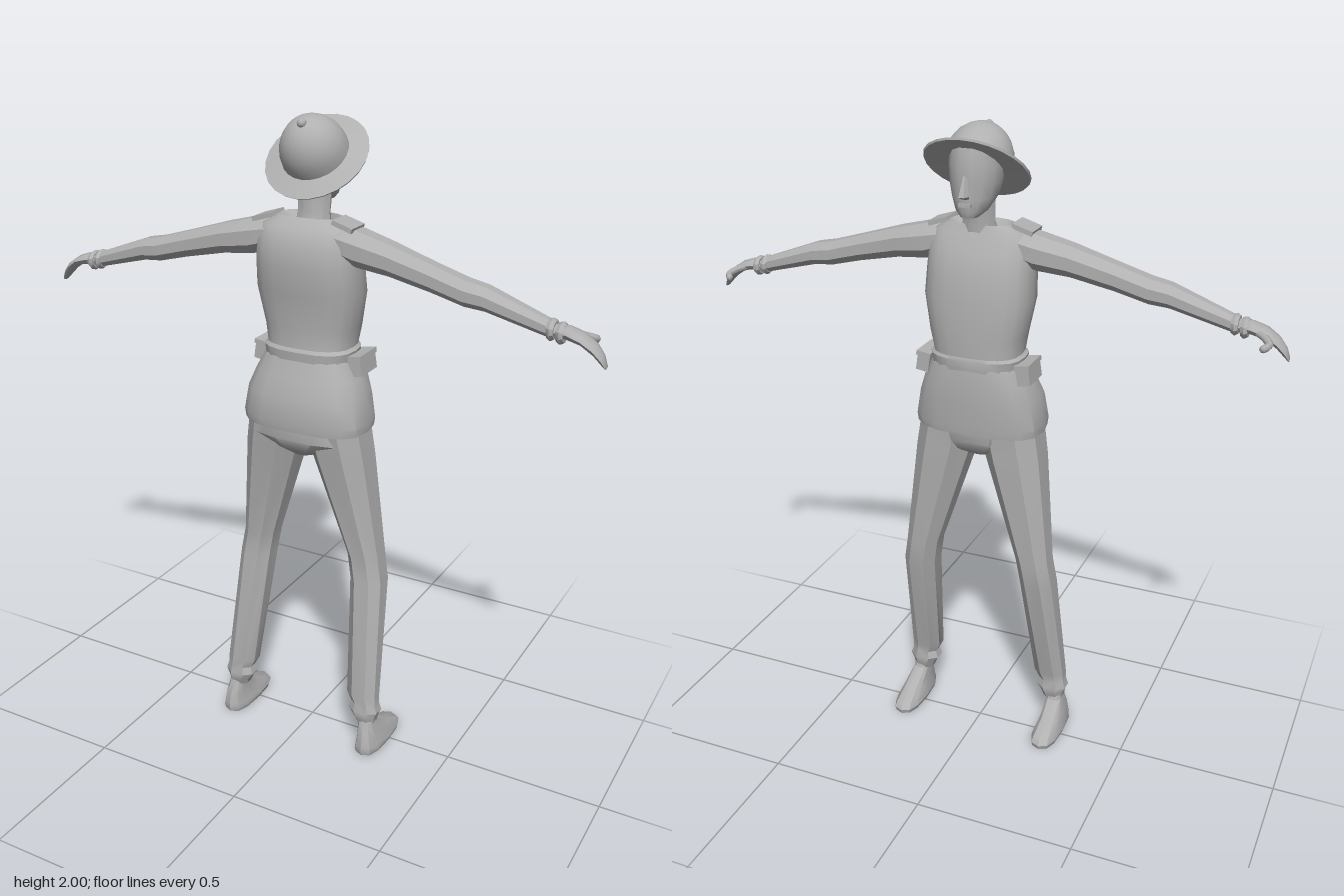
import * as THREE from 'three';
import { toCreasedNormals } from 'three/addons/utils/BufferGeometryUtils.js';

// Skin a stack of rounded rings. Each ring is [t, a0, a1, z0, z1]:
// upright stacks use t = y and a = x; sideways stacks use t = x and a = y.
function loft(rings, { n = 8, upright = true, power = 1, side = 1, crease = 0.6, turn = 0 } = {}) {
  const pos = [], index = [];
  const put = (t, a, z) => (upright ? pos.push(a * side, t, z) : pos.push(t * side, a, z));
  const bend = v => Math.sign(v) * Math.pow(Math.abs(v), power);
  for (const [t, a0, a1, z0, z1] of rings) {
    for (let i = 0; i < n; i++) {
      const k = ((i + turn) / n) * Math.PI * 2;
      put(t, (a0 + a1) / 2 + bend(Math.cos(k)) * (a1 - a0) / 2, (z0 + z1) / 2 + bend(Math.sin(k)) * (z1 - z0) / 2);
    }
  }
  const last = rings.length - 1;
  const flip = upright === (side > 0);
  const tri = (a, b, c) => (flip ? index.push(a, c, b) : index.push(a, b, c));
  for (let r = 0; r < last; r++) {
    for (let i = 0; i < n; i++) {
      const j = (i + 1) % n, a = r * n + i, b = r * n + j;
      tri(a, b, b + n);
      tri(a, b + n, a + n);
    }
  }
  // End caps
  for (const r of [0, last]) {
    const [t, a0, a1, z0, z1] = rings[r];
    put(t, (a0 + a1) / 2, (z0 + z1) / 2);
    const c = pos.length / 3 - 1;
    for (let i = 0; i < n; i++) {
      const a = r * n + i, b = r * n + (i + 1) % n;
      if (r === 0) tri(c, b, a); else tri(c, a, b);
    }
  }
  const g = new THREE.BufferGeometry();
  g.setAttribute('position', new THREE.Float32BufferAttribute(pos, 3));
  g.setIndex(index);
  return toCreasedNormals(g, crease);
}

// Symmetric upright ring
const sym = (y, w, z0, z1) => [y, -w, w, z0, z1];

export function createModel() {
  const model = new THREE.Group();
  model.name = 'figure';
  const grey = new THREE.MeshStandardMaterial({ color: 0xb0b0b0 });
  grey.name = 'plain grey';
  const add = (name, geometry, parent = model) => {
    const mesh = new THREE.Mesh(geometry, grey);
    mesh.name = name;
    parent.add(mesh);
    return mesh;
  };
  const box = (name, size, at, parent) => {
    const mesh = add(name, new THREE.BoxGeometry(...size), parent);
    mesh.position.set(...at);
    return mesh;
  };

  // Shirt, from waist to collar
  add('shirt', loft([
    sym(1.24, 0.15, -0.1, 0.105), sym(1.32, 0.132, -0.104, 0.097), sym(1.39, 0.146, -0.106, 0.092),
    sym(1.5, 0.166, -0.102, 0.11), sym(1.58, 0.162, -0.092, 0.12), sym(1.64, 0.158, -0.076, 0.115),
    sym(1.69, 0.14, -0.05, 0.095), sym(1.715, 0.095, -0.04, 0.06), sym(1.69, 0.06, -0.04, 0.04),
  ], { n: 20, power: 0.75, crease: 0.8 }));
  // Waistband and flared skirt of the jacket
  add('waistband', loft([
    sym(1.29, 0.14, -0.104, 0.1), sym(1.325, 0.145, -0.108, 0.103), sym(1.335, 0.132, -0.104, 0.097),
  ], { n: 20, power: 0.75 }));
  add('jacketSkirt', loft([
    sym(1.09, 0.185, -0.088, 0.125), sym(1.085, 0.2, -0.1, 0.138), sym(1.11, 0.203, -0.103, 0.141),
    sym(1.19, 0.188, -0.106, 0.138), sym(1.245, 0.168, -0.108, 0.116), sym(1.3, 0.14, -0.104, 0.1),
  ], { n: 16, power: 0.7 }));

  // Seat of the trousers
  add('trouserSeat', loft([
    sym(0.99, 0.03, -0.02, 0.08), sym(1.015, 0.11, -0.06, 0.108),
    sym(1.05, 0.188, -0.08, 0.125), sym(1.11, 0.188, -0.085, 0.122),
  ], { n: 14, power: 0.75 }));

  // Neck and head; the face looks toward -z
  add('neck', loft([
    sym(1.66, 0.062, -0.05, 0.05), sym(1.72, 0.05, -0.05, 0.03), sym(1.8, 0.052, -0.065, 0.03),
  ], { n: 10 }));
  add('head', loft([
    sym(1.748, 0.026, -0.106, -0.05), sym(1.765, 0.046, -0.112, -0.005), sym(1.8, 0.064, -0.113, 0.045),
    sym(1.84, 0.074, -0.113, 0.06), sym(1.89, 0.078, -0.116, 0.07), sym(1.94, 0.074, -0.106, 0.07),
  ], { n: 14, crease: 1 }));
  add('nose', loft([
    sym(1.803, 0.012, -0.12, -0.1), sym(1.812, 0.016, -0.141, -0.1), sym(1.865, 0.007, -0.118, -0.1),
  ], { n: 6 }));
  box('lips', [0.036, 0.01, 0.012], [0, 1.785, -0.111]);

  // Tilted hat with round crown, brim and top button
  const hat = new THREE.Group();
  hat.name = 'hat';
  hat.position.set(0, 1.88, -0.02);
  hat.rotation.x = 0.7;
  model.add(hat);
  const crown = [[0, -0.006], [0.1, -0.006], [0.153, -0.012], [0.156, -0.006], [0.1, 0.008]];
  for (let i = 1; i <= 7; i++) {
    const k = (i / 7) * Math.PI / 2;
    crown.push([Math.max(0, 0.1 * Math.cos(k)), 0.008 + 0.118 * Math.sin(k)]);
  }
  add('crownAndBrim', toCreasedNormals(
    new THREE.LatheGeometry(crown.map(p => new THREE.Vector2(...p)), 24), 0.5), hat);
  add('topButton', new THREE.SphereGeometry(0.014, 10, 6), hat).position.y = 0.127;

  for (const side of [1, -1]) {
    const label = side > 0 ? 'left' : 'right';

    // Sleeve, cuff rings and hand
    add(label + 'Arm', loft([
      [0.1, 1.61, 1.705, -0.035, 0.085], [0.17, 1.585, 1.698, -0.04, 0.09], [0.27, 1.575, 1.672, -0.025, 0.088],
      [0.4, 1.548, 1.632, -0.012, 0.084], [0.5, 1.523, 1.602, -0.012, 0.086],
      [0.56, 1.518, 1.59, -0.008, 0.082], [0.74, 1.472, 1.523, 0.008, 0.062],
    ], { upright: false, side, crease: 0.45, turn: 0.5 }));
    [0.735, 0.762].forEach((x, i) => add(label + 'CuffRing' + (i + 1), loft([
      [x, 1.47 - i * 0.006, 1.523 - i * 0.006, 0.005, 0.065],
      [x + 0.01, 1.463 - i * 0.006, 1.527 - i * 0.006, 0, 0.07],
      [x + 0.02, 1.47 - i * 0.006, 1.52 - i * 0.006, 0.005, 0.065],
    ], { upright: false, side, n: 10 })));
    add(label + 'Hand', loft([
      [0.75, 1.472, 1.512, 0.015, 0.058], [0.79, 1.474, 1.512, 0.002, 0.066], [0.83, 1.466, 1.498, 0, 0.07],
      [0.865, 1.442, 1.475, 0.004, 0.064], [0.888, 1.418, 1.447, 0.012, 0.056], [0.898, 1.408, 1.42, 0.02, 0.048],
    ], { upright: false, side, crease: 0.8 }));
    const thumbPath = new THREE.CatmullRomCurve3([
      [0.8, 1.488, 0.02], [0.835, 1.478, -0.005], [0.85, 1.468, -0.025], [0.838, 1.462, -0.044],
    ].map(([x, y, z]) => new THREE.Vector3(x * side, y, z)));
    add(label + 'Thumb', new THREE.TubeGeometry(thumbPath, 8, 0.011, 6));
    const tip = add(label + 'ThumbTip', new THREE.SphereGeometry(0.011, 6, 5));
    tip.position.set(0.838 * side, 1.462, -0.044);

    // Shoulder strap and belt pouches
    const strap = box(label + 'ShoulderStrap', [0.065, 0.014, 0.08], [0.13 * side, 1.705, 0.03]);
    strap.rotation.z = -0.3 * side;
    box(label + 'Pouch', [0.04, 0.055, 0.1], [0.16 * side, 1.285, -0.015]).rotation.z = 0.15 * side;
    box(label + 'PouchFlap', [0.046, 0.014, 0.106], [0.157 * side, 1.312, -0.015]).rotation.z = 0.15 * side;

    // Trouser leg, gathered at the ankle
    add(label + 'Leg', loft([
      [0.1, 0.205, 0.272, 0.042, 0.1], [0.125, 0.196, 0.276, 0.032, 0.112], [0.145, 0.18, 0.286, 0.03, 0.112],
      [0.17, 0.188, 0.278, 0.036, 0.106], [0.2, 0.172, 0.277, 0.03, 0.108], [0.58, 0.145, 0.258, -0.066, 0.056],
      [0.66, 0.132, 0.244, -0.072, 0.052], [1, 0.022, 0.208, -0.082, 0.108], [1.1, 0, 0.192, -0.085, 0.12],
    ], { side, crease: 0.45, turn: 0.5, power: 0.85 }));

    // Shoe: an upright stack narrowing from the sole to the ankle
    add(label + 'Shoe', loft([
      [0, 0.208, 0.292, -0.104, 0.128], [0.014, 0.204, 0.296, -0.108, 0.132], [0.03, 0.208, 0.292, -0.095, 0.13],
      [0.06, 0.216, 0.284, -0.03, 0.124], [0.1, 0.218, 0.272, 0.035, 0.108], [0.13, 0.22, 0.268, 0.045, 0.098],
    ], { side, n: 12, power: 0.75, crease: 0.5 }));
  }
  return model;
}
